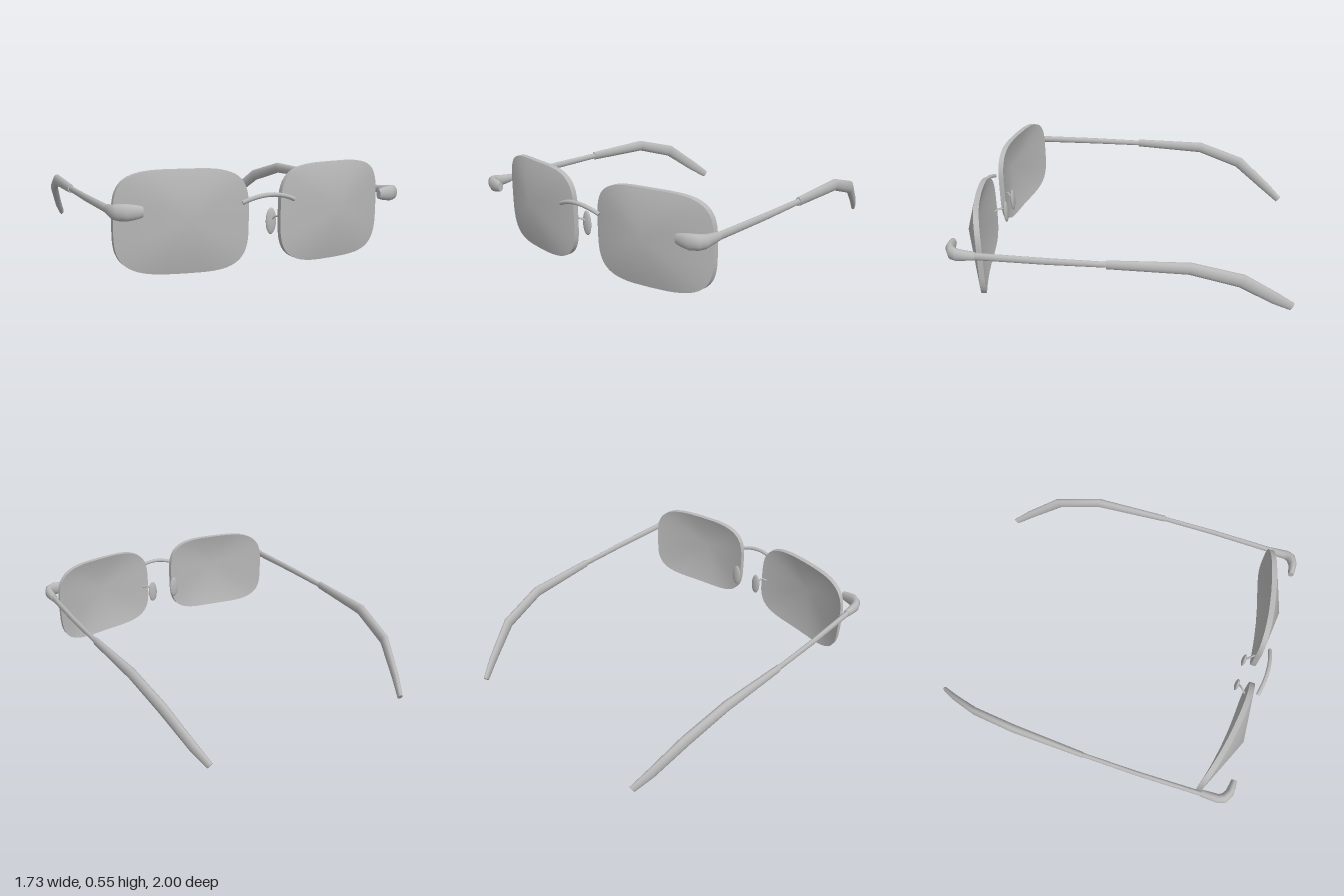
import * as THREE from 'three';

const grey = new THREE.MeshStandardMaterial({ color: 0xb8b8b8 });
grey.name = 'satin grey';

function geometryFrom(positions, index) {
  const g = new THREE.BufferGeometry();
  g.setAttribute('position', new THREE.Float32BufferAttribute(positions, 3));
  g.setIndex(index);
  g.computeVertexNormals();
  return g;
}

function addMesh(parent, name, geometry) {
  const mesh = new THREE.Mesh(geometry, grey);
  mesh.name = name;
  parent.add(mesh);
  return mesh;
}

// Elliptical loft with flat caps; each station is [x, y, z, side radius, up radius]
function loft(stations, s = 1, n = 14) {
  const pts = stations.map(([x, y, z]) => new THREE.Vector3(s * x, y, z));
  const Y = new THREE.Vector3(0, 1, 0);
  const pos = [], idx = [];
  const rings = pts.map((p, i) => {
    const t = new THREE.Vector3();
    if (i > 0) t.add(p.clone().sub(pts[i - 1]).normalize());
    if (i < pts.length - 1) t.add(pts[i + 1].clone().sub(p).normalize());
    t.normalize();
    const side = Y.clone().cross(t).normalize();
    const up = t.clone().cross(side);
    return Array.from({ length: n }, (_, j) => {
      const a = (j / n) * Math.PI * 2;
      return p.clone()
        .addScaledVector(side, Math.cos(a) * stations[i][3])
        .addScaledVector(up, Math.sin(a) * stations[i][4]);
    });
  });
  rings.forEach((ring, i) => {
    ring.forEach((v) => pos.push(v.x, v.y, v.z));
    if (i === 0) return;
    for (let j = 0; j < n; j++) {
      const k = (j + 1) % n, a = (i - 1) * n, b = i * n;
      idx.push(a + j, a + k, b + k, a + j, b + k, b + j);
    }
  });
  // separate cap vertices keep the ends crisp
  [0, rings.length - 1].forEach((r, end) => {
    const c = pos.length / 3;
    [pts[r], ...rings[r]].forEach((v) => pos.push(v.x, v.y, v.z));
    for (let j = 0; j < n; j++) {
      const a = c + 1 + j, b = c + 1 + ((j + 1) % n);
      if (end) idx.push(c, a, b);
      else idx.push(c, b, a);
    }
  });
  return geometryFrom(pos, idx);
}

// Rounded-rectangle lens, curved back towards the temple, with shallow peaked faces
function lens(s) {
  const n = 64, thick = 0.033;
  const power = (v) => Math.sign(v) * Math.abs(v) ** 0.54;
  const outline = Array.from({ length: n }, (_, i) => {
    const a = (s * i * Math.PI * 2) / n;
    const x = 0.455 + 0.358 * power(Math.cos(a));
    return [s * x, 0.276 + 0.275 * power(Math.sin(a)), 0.892 - 0.242 * (x - 0.1) ** 2];
  });
  const pos = [], idx = [];
  const ring = (dz) => {
    const start = pos.length / 3;
    outline.forEach(([x, y, z]) => pos.push(x, y, z + dz));
    return start;
  };
  const front = ring(thick), back = ring(0), rimFront = ring(thick), rimBack = ring(0);
  const apex = pos.length / 3;
  pos.push(s * 0.45, 0.3, 0.967, s * 0.45, 0.3, 0.967 - thick);
  for (let i = 0; i < n; i++) {
    const k = (i + 1) % n;
    idx.push(apex, front + i, front + k, apex + 1, back + k, back + i);
    idx.push(rimBack + i, rimBack + k, rimFront + k, rimBack + i, rimFront + k, rimFront + i);
  }
  return geometryFrom(pos, idx);
}

export function createModel() {
  const model = new THREE.Group();
  model.name = 'glasses';

  // Arched bridge between the lenses
  const bridge = [];
  for (let i = -6; i <= 6; i++) {
    const t = i / 6;
    bridge.push([0.155 * t, 0.404 - 0.036 * t * t, 0.984 - 0.018 * t * t, 0.012, 0.012]);
  }
  addMesh(model, 'bridge', loft(bridge));

  for (const s of [1, -1]) {
    const half = new THREE.Group();
    half.name = s > 0 ? 'leftSide' : 'rightSide';
    model.add(half);

    addMesh(half, 'lens', lens(s));

    // Endpiece wrapping round the outer corner
    addMesh(half, 'endpiece', loft([
      [0.708, 0.36, 0.967, 0.018, 0.028],
      [0.735, 0.36, 0.966, 0.021, 0.036],
      [0.785, 0.36, 0.961, 0.026, 0.044],
      [0.825, 0.36, 0.938, 0.029, 0.043],
      [0.839, 0.358, 0.905, 0.027, 0.039],
      [0.839, 0.357, 0.86, 0.025, 0.032],
      [0.839, 0.357, 0.8, 0.021, 0.025],
    ], s));

    // Thin temple arm
    addMesh(half, 'temple', loft([
      [0.842, 0.357, 0.82, 0.015, 0.023],
      [0.849, 0.357, 0.4, 0.014, 0.021],
      [0.845, 0.357, 0.04, 0.013, 0.018],
    ], s));

    // Thicker sleeve bending down behind the ear
    addMesh(half, 'templeTip', loft([
      [0.846, 0.357, 0.06, 0.017, 0.027],
      [0.825, 0.351, -0.4, 0.025, 0.037],
      [0.783, 0.264, -0.685, 0.023, 0.041],
      [0.712, 0.112, -0.885, 0.019, 0.035],
      [0.667, 0.034, -0.985, 0.014, 0.025],
    ], s));

    // Nose pad on its wire arm
    const pad = addMesh(half, 'nosePad', new THREE.SphereGeometry(1, 20, 14));
    pad.scale.set(0.032, 0.075, 0.014);
    pad.position.set(s * 0.087, 0.23, 0.836);
    addMesh(half, 'nosePadArm', loft([
      [0.088, 0.235, 0.84, 0.006, 0.006],
      [0.097, 0.258, 0.857, 0.006, 0.006],
      [0.115, 0.265, 0.876, 0.006, 0.006],
      [0.138, 0.25, 0.9, 0.006, 0.006],
    ], s, 8));
  }
  return model;
}
